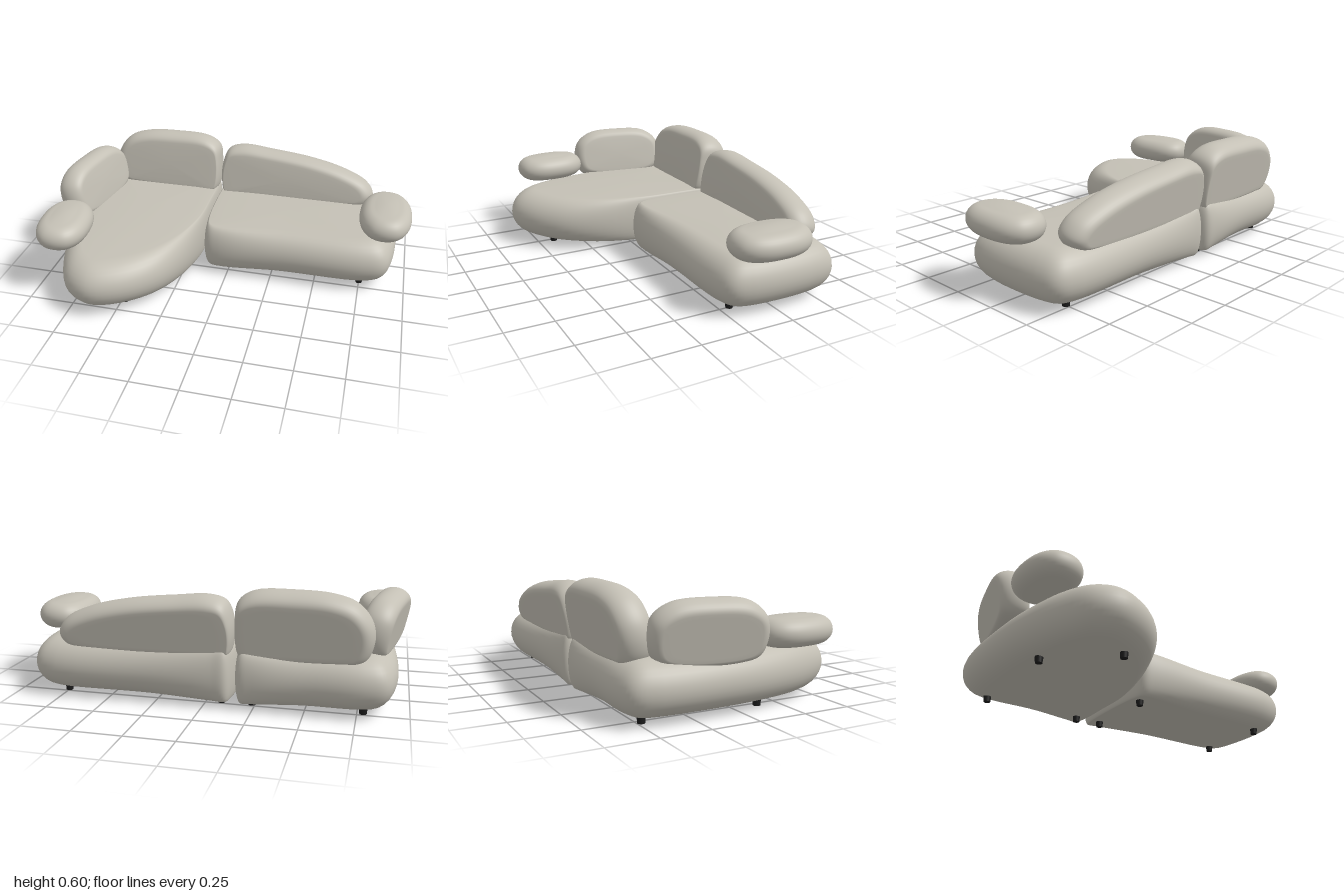
import * as THREE from 'three';
import { mergeVertices } from 'three/addons/utils/BufferGeometryUtils.js';

const STEPS = 96;

// Closed smooth outline sampled by control point, so two outlines stay matched.
function outline(points) {
  const curve = new THREE.CatmullRomCurve3(points.map(([u, v]) => new THREE.Vector3(u, v, 0)), true, 'centripetal');
  return Array.from({ length: STEPS }, (_, i) => curve.getPoint(i / STEPS));
}

// Stuffed cushion in the XY plane, thick along Z.
// Each control is [rim u, rim v, flat face u, flat face v], counter-clockwise.
function pillow(controls, half, crown) {
  const rim = outline(controls.map((c) => [c[0], c[1]]));
  const face = outline(controls.map((c) => [c[2], c[3]]));
  const centre = face.reduce((s, p) => s.add(p), new THREE.Vector3()).divideScalar(STEPS);
  const rings = [];
  const shrink = [0, 0.3, 0.6, 0.85];
  const cap = (s, z) => rings.push(face.map((p) => centre.clone().lerp(p, s).setZ(z)));
  shrink.forEach((s) => cap(s, -half));
  for (let k = 0; k <= 16; k++) {
    const a = (k / 16 - 0.5) * Math.PI;
    rings.push(face.map((p, i) => p.clone().lerp(rim[i], Math.cos(a)).setZ(half * Math.sin(a))));
  }
  shrink.slice().reverse().forEach((s) => cap(s, half + crown * (1 - s * s)));

  const index = [];
  for (let j = 0; j < rings.length - 1; j++) {
    for (let i = 0; i < STEPS; i++) {
      const n = (i + 1) % STEPS;
      const a = j * STEPS + i, b = j * STEPS + n, c = b + STEPS, d = a + STEPS;
      index.push(a, b, c, a, c, d);
    }
  }
  let geo = new THREE.BufferGeometry().setFromPoints(rings.flat());
  geo.setIndex(index);
  geo = mergeVertices(geo, 1e-5);
  geo.computeVertexNormals();
  return geo;
}

// Oval pad outline with slightly squared sides.
function oval(a, b, inset) {
  return Array.from({ length: 16 }, (_, i) => {
    const t = (i / 16) * Math.PI * 2;
    const c = Math.sign(Math.cos(t)) * Math.abs(Math.cos(t)) ** 0.85;
    const s = Math.sign(Math.sin(t)) * Math.abs(Math.sin(t)) ** 0.85;
    return [a * c, b * s, (a - inset) * c, (b - inset) * s];
  });
}

export function createModel() {
  const group = new THREE.Group();
  group.name = 'sectionalSofa';
  const fabric = new THREE.MeshStandardMaterial({ color: 0xc4c0b5 });
  fabric.name = 'greige fabric';
  const black = new THREE.MeshStandardMaterial({ color: 0x1c1c1c });
  black.name = 'black feet';

  function add(name, geo, material, x, y, z) {
    const mesh = new THREE.Mesh(geo, material);
    mesh.name = name;
    mesh.position.set(x, y, z);
    group.add(mesh);
    return mesh;
  }

  // Seats: outlines in x and -z, laid flat
  const seat = (name, controls) =>
    add(name, pillow(controls, 0.1325, 0.007).rotateX(-Math.PI / 2), fabric, 0, 0.1625, 0);

  seat('leftSeat', [
    [-0.145, 0.05, -0.125, 0.07], [-0.12, -0.04, -0.1, 0], [-0.04, -0.065, -0.03, -0.01],
    [0.3, -0.065, 0.3, 0.04], [0.75, -0.065, 0.74, 0.06], [0.88, -0.02, 0.78, 0.08],
    [0.92, 0.1, 0.8, 0.12], [0.92, 0.45, 0.8, 0.42], [0.88, 0.57, 0.78, 0.47],
    [0.77, 0.61, 0.73, 0.49], [0.3, 0.605, 0.3, 0.5], [-0.04, 0.6, -0.04, 0.55],
    [-0.12, 0.59, -0.11, 0.56], [-0.145, 0.52, -0.125, 0.5],
  ]);
  seat('chaiseSeat', [
    [-0.61, -0.615, -0.61, -0.47], [-0.45, -0.56, -0.5, -0.43], [-0.3, -0.42, -0.37, -0.33],
    [-0.21, -0.22, -0.26, -0.17], [-0.165, 0.05, -0.19, 0.06], [-0.16, 0.3, -0.18, 0.3],
    [-0.16, 0.52, -0.18, 0.5], [-0.18, 0.59, -0.2, 0.56], [-0.26, 0.605, -0.26, 0.55],
    [-0.5, 0.605, -0.5, 0.5], [-0.78, 0.61, -0.74, 0.49], [-0.89, 0.57, -0.79, 0.47],
    [-0.93, 0.45, -0.8, 0.42], [-0.93, 0.1, -0.8, 0.1], [-0.9, -0.15, -0.78, -0.13],
    [-0.83, -0.4, -0.74, -0.33], [-0.74, -0.56, -0.68, -0.43],
  ]);

  // Back cushions: upright outlines, leaning away from the seat
  const back = (name, controls, half, x, z, lean, yaw) =>
    add(name, pillow(controls, half, 0.004).translate(0, -0.42, 0), fabric, x, 0.42, z)
      .rotation.set(lean, yaw, 0, 'YXZ');

  back('leftBackCushion', [
    [0.77, 0.33, 0.7, 0.33], [0.73, 0.4, 0.67, 0.37], [0.6, 0.465, 0.56, 0.42],
    [0.4, 0.515, 0.38, 0.465], [0.15, 0.545, 0.15, 0.495], [-0.03, 0.558, -0.02, 0.505],
    [-0.11, 0.53, -0.09, 0.49], [-0.145, 0.44, -0.12, 0.43], [-0.145, 0.33, -0.125, 0.33],
    [-0.12, 0.26, -0.11, 0.28], [0, 0.25, 0, 0.28], [0.6, 0.25, 0.6, 0.285],
    [0.73, 0.27, 0.68, 0.3],
  ], 0.085, 0, -0.51, -0.17, 0);
  back('chaiseBackCushion', [
    [-0.165, 0.3, -0.185, 0.3], [-0.16, 0.45, -0.18, 0.45], [-0.175, 0.54, -0.2, 0.51],
    [-0.25, 0.59, -0.26, 0.54], [-0.45, 0.602, -0.45, 0.545], [-0.63, 0.59, -0.62, 0.535],
    [-0.74, 0.55, -0.71, 0.5], [-0.81, 0.46, -0.755, 0.44], [-0.82, 0.36, -0.76, 0.36],
    [-0.78, 0.27, -0.73, 0.3], [-0.68, 0.25, -0.66, 0.29], [-0.3, 0.25, -0.3, 0.28],
    [-0.19, 0.26, -0.2, 0.28],
  ], 0.085, 0, -0.51, -0.17, 0);
  back('chaiseSideCushion', [
    [0.285, 0.37, 0.23, 0.37], [0.265, 0.47, 0.22, 0.445], [0.18, 0.535, 0.16, 0.485],
    [0, 0.552, 0, 0.5], [-0.18, 0.535, -0.16, 0.485], [-0.265, 0.47, -0.22, 0.445],
    [-0.285, 0.37, -0.23, 0.37], [-0.25, 0.28, -0.21, 0.31], [-0.15, 0.25, -0.14, 0.285],
    [0.15, 0.25, 0.14, 0.285], [0.25, 0.28, 0.21, 0.31],
  ], 0.075, -0.865, -0.19, -0.2, 1.39);

  // Armrest pads
  const arm = (name, a, b, x, z, yaw) => {
    const geo = pillow(oval(a, b, 0.072), 0.068, 0.008).rotateX(-Math.PI / 2);
    add(name, geo, fabric, x, 0.364, z).rotation.y = yaw;
  };
  arm('leftArmrest', 0.143, 0.214, 0.855, -0.197, 0);
  arm('rightArmrest', 0.14, 0.203, -0.843, 0.29, 0.08);

  // Feet
  const footGeo = new THREE.CylinderGeometry(0.021, 0.018, 0.036, 20);
  [[-0.08, -0.055], [0.75, -0.055], [-0.08, -0.48], [0.75, -0.48],
    [-0.235, -0.48], [-0.78, -0.48], [-0.78, 0.135], [-0.48, 0.41]]
    .forEach(([x, z]) => add('foot', footGeo, black, x, 0.018, z));

  return group;
}
